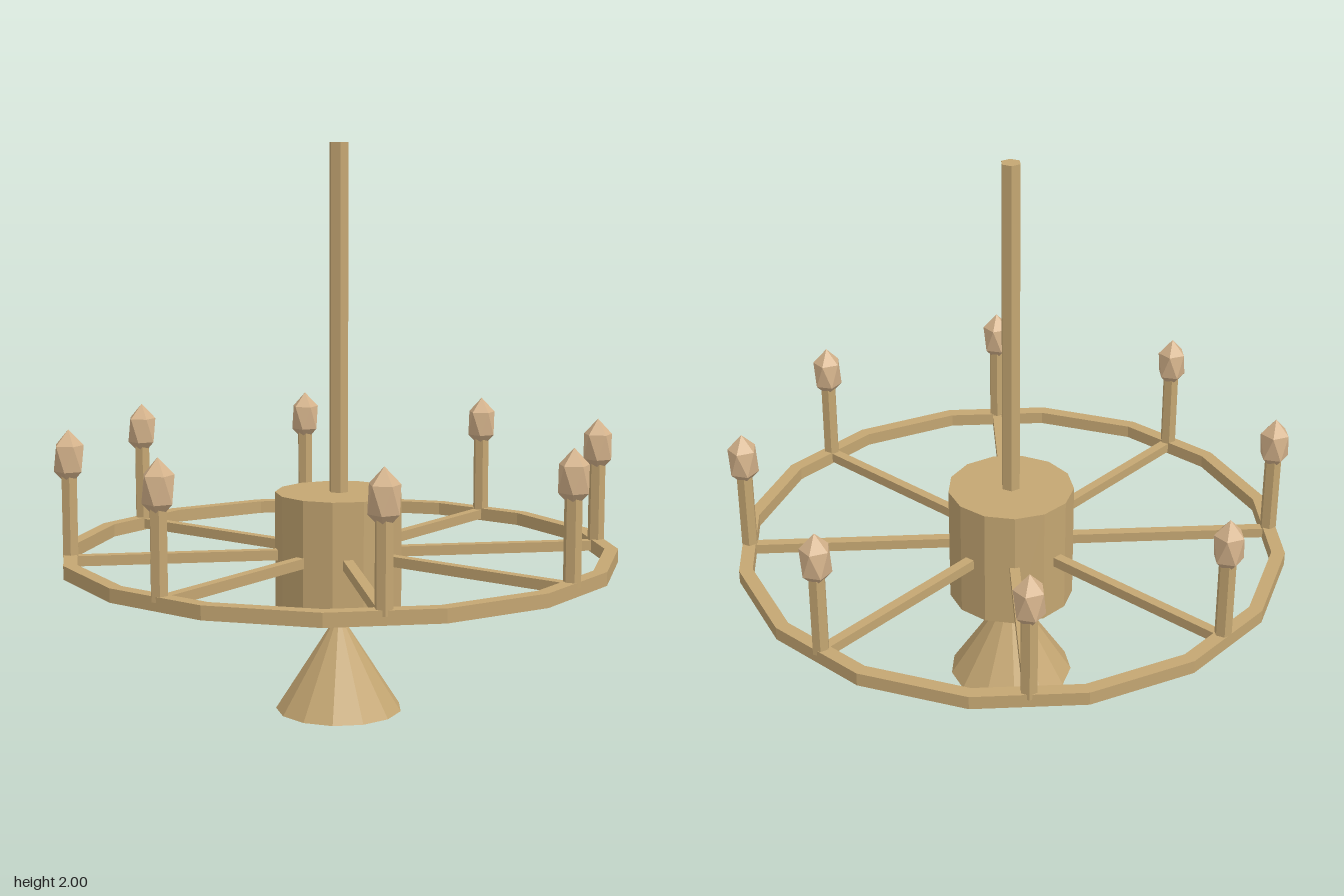
import * as THREE from 'three';

export function createModel() {
  const brass = new THREE.MeshStandardMaterial({ color: 0xc4a672 });
  brass.name = 'brass';
  const flameTan = new THREE.MeshStandardMaterial({ color: 0xd6b48c });
  flameTan.name = 'flame tan';
  brass.flatShading = flameTan.flatShading = true;

  const model = new THREE.Group();
  model.name = 'chandelier';

  const add = (name, geometry, material, x, y, z, parent = model) => {
    const mesh = new THREE.Mesh(geometry, material);
    mesh.name = name;
    mesh.position.set(x, y, z);
    parent.add(mesh);
    return mesh;
  };

  // Central column: lower cone, drum and hanging rod
  const cone = new THREE.ConeGeometry(0.225, 0.35, 13).rotateY(Math.PI);
  const drum = new THREE.CylinderGeometry(0.225, 0.225, 0.435, 13).rotateY(Math.PI);
  add('lowerCone', cone, brass, 0, 0.175, 0);
  add('hub', drum, brass, 0, 0.5675, 0);
  add('hangingRod', new THREE.CylinderGeometry(0.035, 0.035, 1.22, 6), brass, 0, 1.39, 0);

  // Sixteen-sided rim with a flat facing each axis
  const polygon = (apothem) => {
    const points = [];
    for (let i = 0; i < 16; i++) {
      const a = (i + 0.5) * Math.PI / 8;
      const r = apothem / Math.cos(Math.PI / 16);
      points.push(new THREE.Vector2(Math.cos(a) * r, Math.sin(a) * r));
    }
    return points;
  };
  const rimShape = new THREE.Shape(polygon(0.963));
  rimShape.holes.push(new THREE.Path(polygon(0.916)));
  const rim = new THREE.ExtrudeGeometry(rimShape, { depth: 0.047, bevelEnabled: false });
  add('rim', rim.rotateX(-Math.PI / 2), brass, 0, 0.542, 0);

  // Eight arms, each with a candle and a faceted flame
  const armGeometry = new THREE.BoxGeometry(0.76, 0.036, 0.035);
  const candleGeometry = new THREE.CylinderGeometry(0.03, 0.03, 0.3, 6);
  const flameGeometry = new THREE.IcosahedronGeometry(1, 0);
  flameGeometry.rotateZ(-Math.atan(2 / (1 + Math.sqrt(5))));
  flameGeometry.scale(0.058, 0.1, 0.058);

  for (let i = 0; i < 8; i++) {
    const a = i * Math.PI / 4;
    const x = Math.cos(a), z = Math.sin(a);
    const arm = add('arm', armGeometry, brass, x * 0.56, 0.566, z * 0.56);
    arm.rotation.y = -a;
    add('candle', candleGeometry, brass, x * 0.938, 0.72, z * 0.938);
    add('flame', flameGeometry, flameTan, x * 0.938, 0.925, z * 0.938);
  }
  return model;
}
